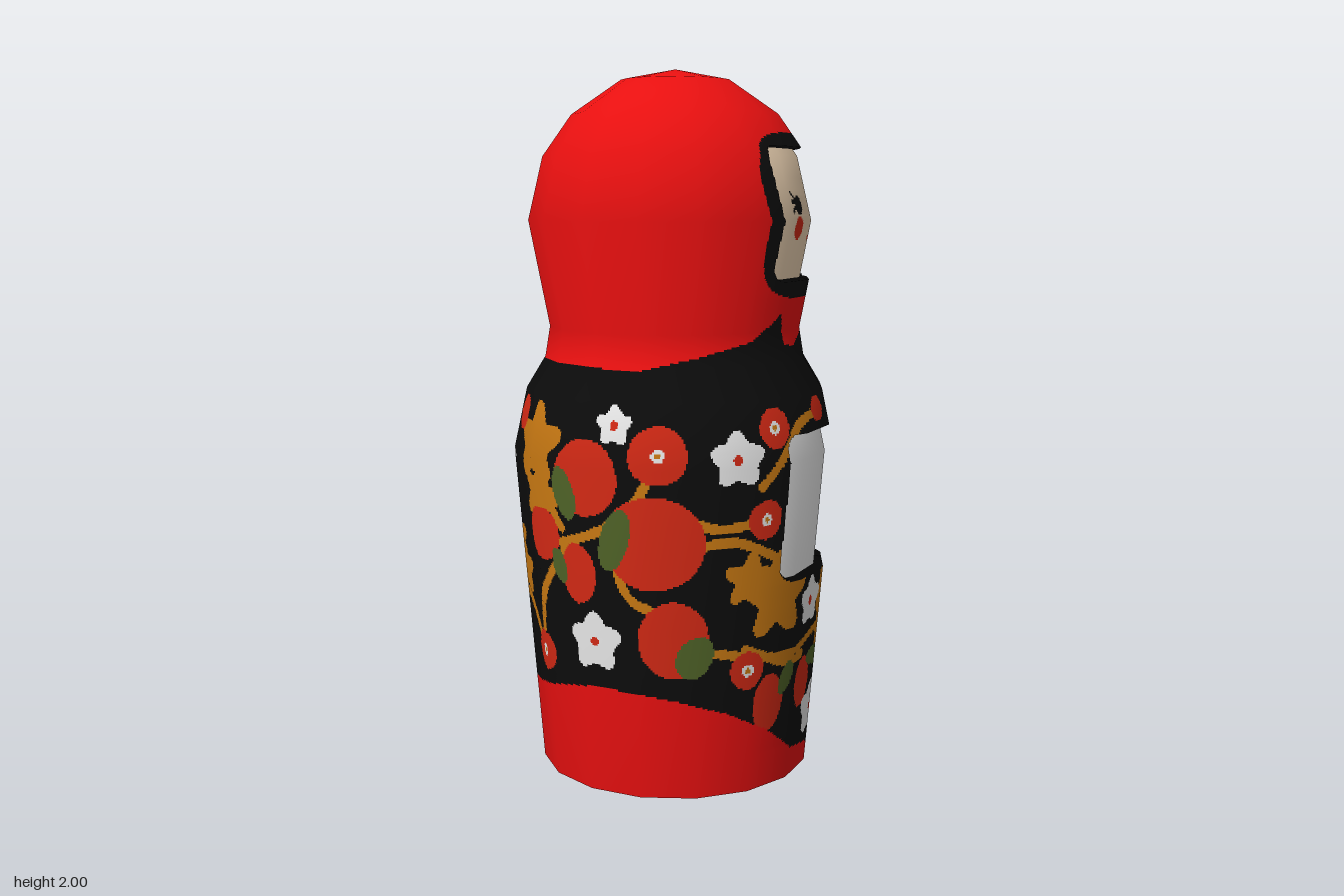
import * as THREE from 'three';

// Turned outline: [radius, height]
const PROFILE = [[0.392, 0], [0.468, 0.93], [0.43, 1.106], [0.376, 1.195], [0.362, 1.28], [0.42, 1.58],
  [0.378, 1.757], [0.296, 1.873], [0.155, 1.97], [0, 2]];
const SIDES = 16, CELLS = 32, ROW = 0.006, ARC = 0.44, INSET = 0.028;

// Straight-line lookup in a list of [value, key]
function lookup(table, key) {
  let i = 1;
  while (i < table.length - 1 && key > table[i][1]) i++;
  const [v0, k0] = table[i - 1], [v1, k1] = table[i];
  return v0 + (v1 - v0) * Math.min(1, Math.max(0, (key - k0) / (k1 - k0)));
}
const radiusAt = (y) => lookup(PROFILE, y);
const clamp = (v) => Math.max(-1, Math.min(1, v));

// Places on the painted half, as [arc length from the face line, height]
const F = (x, y) => [Math.acos(clamp(x / radiusAt(y))) * ARC, y]; // flank, by x
const S = (z, y) => [Math.asin(clamp(z / radiusAt(y))) * ARC, y]; // face side, by z
const B = (deg, y) => [deg * Math.PI / 180 * ARC, y];             // back, by angle

// Painted shapes; later ones cover earlier ones
const shapes = [];
const add = (key, test, [u, y], reach) => shapes.push({ key, test, u, y, reach });
function oval(key, p, rx, ry = rx, tilt = 0) {
  const c = Math.cos(tilt), s = Math.sin(tilt);
  add(key, (u, v) => ((u * c + v * s) / rx) ** 2 + ((v * c - u * s) / ry) ** 2 < 1, p, Math.max(rx, ry));
}
function petals(key, p, r, wave = 0.14, turn = Math.PI / 2) {
  add(key, (u, v) => Math.hypot(u, v) < r * (1 - wave + wave * Math.cos(5 * (Math.atan2(v, u) - turn))), p, r);
}
function stem(...pts) {
  const curve = new THREE.CatmullRomCurve3(pts.map(([u, y]) => new THREE.Vector3(u, y, 0)));
  for (const q of curve.getPoints(28)) oval('gold', [q.x, q.y], 0.014);
}
function flower(p, r) {
  petals('whiteFlower', p, r);
  oval('redFlower', p, 0.013);
}
function roundBloom(p, r) {
  oval('redFlower', p, r);
  oval('whiteFlower', [p[0], p[1]], 0.018);
  oval('gold', p, 0.008);
}

// Stems
stem(F(-0.26, 0.7), F(-0.12, 0.75), F(0, 0.84), F(0.065, 0.97));
stem(F(-0.31, 0.4), F(-0.3, 0.55), F(-0.2, 0.72));
stem(F(-0.07, 0.7), F(-0.02, 0.58), F(0.1, 0.52));
stem(F(0.1, 0.82), F(0.22, 0.77), F(0.33, 0.785));
stem(F(0.15, 0.72), F(0.26, 0.73), F(0.35, 0.68));
stem(F(0.2, 0.42), F(0.29, 0.4), S(0.2, 0.38), S(0, 0.42));
stem(S(0.32, 0.42), S(0.2, 0.36), S(0.12, 0.36));
stem(S(0.05, 1.05), S(0.18, 1.04), S(0.25, 0.97), S(0.33, 0.88));
stem(S(0, 0.36), S(0, 0.48), S(0, 0.58));
stem(B(138, 0.38), B(150, 0.48), B(165, 0.55));
stem(B(120, 0.75), B(128, 0.82), B(136, 0.86));

// Gold leaves
petals('gold', B(135, 0.97), 0.12, 0.2);
petals('gold', B(132, 0.83), 0.095, 0.2, -0.6);
petals('gold', B(166, 0.66), 0.11, 0.2);
petals('gold', B(156, 0.58), 0.08, 0.2, 0.3);
petals('gold', S(0.25, 0.56), 0.13, 0.2);
petals('gold', S(0.33, 0.62), 0.08, 0.2, 0.4);
oval('gold', S(0, 0.5), 0.035, 0.05);

// Berries
oval('redFlower', F(-0.15, 0.9), 0.1, 0.105);
oval('redFlower', F(0.05, 0.73), 0.14, 0.13);
oval('redFlower', F(0.1, 0.46), 0.1, 0.11);
oval('redFlower', F(-0.3, 0.72), 0.075, 0.075);
oval('redFlower', F(-0.175, 0.63), 0.06, 0.085);
oval('redFlower', S(0.245, 0.25), 0.062, 0.085);
oval('redFlower', S(0.095, 0.27), 0.058, 0.075);
oval('redFlower', S(0.075, 1.06), 0.042, 0.036);
oval('redFlower', B(164, 1.02), 0.045);
oval('redFlower', B(180, 1.04), 0.045);
oval('redFlower', B(172, 0.36), 0.06);
oval('redFlower', B(152, 1.04), 0.035, 0.05);

// Berry leaves
oval('leaf', F(-0.215, 0.85), 0.042, 0.075, -0.3);
oval('leaf', F(-0.06, 0.735), 0.042, 0.09, 0.3);
oval('leaf', F(0.155, 0.41), 0.05, 0.065, 0.6);
oval('leaf', F(-0.24, 0.64), 0.03, 0.05, -0.3);
oval('leaf', S(0, 0.33), 0.075, 0.03);
oval('leaf', S(0.19, 0.31), 0.025, 0.05, 0.4);

// Blooms
for (const [p, r] of [[F(0.065, 0.97), 0.078], [B(137, 0.37), 0.058], [F(0.335, 0.785), 0.055],
  [F(0.285, 0.36), 0.055], [F(0.35, 1.03), 0.055]]) roundBloom(p, r);
for (const [p, r] of [[F(-0.06, 1.045), 0.055], [F(0.27, 0.955), 0.078], [F(-0.127, 0.44), 0.088],
  [S(0.085, 0.51), 0.075], [S(0, 0.17), 0.085], [B(167, 0.9), 0.088]]) flower(p, r);

// Edges of the black dress: [height, degrees from the face line]
const HEM = [[0.06, 0], [0.085, 20], [0.17, 36], [0.24, 55], [0.28, 72], [0.305, 90], [0.31, 110], [0.25, 150], [0.25, 180]];
const COLLAR = [[1.27, 0], [1.235, 10], [1.24, 21], [1.33, 24], [1.3, 29], [1.26, 40], [1.215, 70], [1.187, 90], [1.19, 180]];

// Sunken panels, as rounded rectangles seen from the face side
function panelAt(a, y) {
  if (a > 1.2) return '';
  const z = radiusAt(y) * Math.sin(a);
  const inside = (w, y0, y1, c) => {
    const dx = Math.max(0, z - w + c), dy = Math.max(0, Math.abs(y - (y0 + y1) / 2) - (y1 - y0) / 2 + c);
    return Math.hypot(dx, dy) < c;
  };
  return inside(0.21, 1.42, 1.78, 0.04) ? 'face' : inside(0.25, 0.595, 1.003, 0.05) ? 'apron' : '';
}

function faceColour(z, y) {
  const lash = [-0.6, 0, 0.6].some((k) => {
    const t = (z - 0.085) / 0.045;
    return t > 0 && t < 1 && Math.abs(y - 1.63 - k * (z - 0.085)) < 0.005;
  });
  if (lash || Math.hypot(z - 0.08, y - 1.622) < 0.026) return 'eyes';
  if (Math.hypot(z - 0.09, y - 1.56) < 0.031 || Math.hypot(z, y - 1.533) < 0.008) return 'cheeksAndMouth';
  return 'face';
}

// Part name for a place on the surface
function paint(a, y) {
  const panel = panelAt(a, y), z = radiusAt(y) * Math.sin(a), deg = a * 180 / Math.PI;
  if (panel === 'face') return faceColour(z, y);
  if (panel) return panel;
  if (y > lookup(COLLAR, deg)) {
    const ring = a < 1.2 && (z / 0.255) ** 4 + (Math.abs(y - 1.593) / 0.226) ** 4 < 1;
    return ring ? 'dress' : 'headscarf';
  }
  if (y < lookup(HEM, deg)) return 'hem';
  let key = 'dress';
  for (const s of shapes) {
    const u = a * ARC - s.u, v = y - s.y;
    if (Math.abs(u) < s.reach && Math.abs(v) < s.reach && s.test(u, v)) key = s.key;
  }
  return key;
}

export function createModel() {
  const group = new THREE.Group();
  const mat = (name, color) => new THREE.MeshStandardMaterial({ name, color });
  const red = mat('bright red', 0xe81010), black = mat('black', 0x0c0c0c), berry = mat('berry red', 0xcf2814);
  const white = mat('white', 0xe6e6e6);
  const materials = { headscarf: red, hem: red, dress: black, eyes: black, redFlower: berry, cheeksAndMouth: berry,
    whiteFlower: white, apron: white, gold: mat('gold', 0xc47612), leaf: mat('leaf green', 0x4d6026),
    face: mat('skin', 0xecd2b2) };
  const buckets = {};

  // Smooth outline normals [outward, up]
  const segs = PROFILE.slice(1).map(([r, y], i) => new THREE.Vector2(y - PROFILE[i][1], PROFILE[i][0] - r).normalize());
  const normals = PROFILE.map((_, i) => (i === PROFILE.length - 1 ? new THREE.Vector2(0, 1)
    : segs[i].clone().add(segs[Math.max(0, i - 1)]).normalize()));

  // Point on the many-sided body at side i, fraction t
  const step = Math.PI * 2 / SIDES;
  const dirAt = (i, t) => [0, 1].map((k) => {
    const f = k ? Math.sin : Math.cos;
    return f(i * step) * (1 - t) + f((i + 1) * step) * t;
  });
  const angle = ([x, z]) => Math.abs(Math.atan2(z, x));

  // Cut the body into fine rows and join neighbouring cells of one part
  for (let b = 0; b < PROFILE.length - 1; b++) {
    const [r0, h0] = PROFILE[b], [r1, h1] = PROFILE[b + 1];
    const rows = Math.ceil(Math.hypot(r1 - r0, h1 - h0) / ROW);
    for (let k = 0; k < rows; k++) {
      const level = [k / rows, (k + 1) / rows].map((t) => ({
        y: h0 + (h1 - h0) * t, r: r0 + (r1 - r0) * t, n: normals[b].clone().lerp(normals[b + 1], t) }));
      const mid = (level[0].y + level[1].y) / 2;
      for (let i = 0; i < SIDES; i++) {
        const sunk = (c, l) => (panelAt(angle(dirAt(i, c / CELLS)), level[l].y) ? 1 : 0);
        const emit = (key, c0, c1) => {
          const out = (buckets[key] ??= { position: [], normal: [] });
          for (const [c, l] of [[c0, 0], [c0, 1], [c1, 1], [c0, 0], [c1, 1], [c1, 0]]) {
            const [x, z] = dirAt(i, c / CELLS), { y, r, n } = level[l], d = r - INSET * sunk(c, l);
            const v = new THREE.Vector3(x * n.x, n.y, z * n.x).normalize();
            out.position.push(x * d, y, z * d);
            out.normal.push(v.x, v.y, v.z);
          }
        };
        let start = 0, last = null;
        for (let c = 0; c <= CELLS; c++) {
          let tag = null;
          if (c < CELLS) {
            const depth = sunk(c, 0) + sunk(c + 1, 0) + sunk(c, 1) + sunk(c + 1, 1);
            const edge = depth > 0 && depth < 4;
            tag = edge ? `dress ${c}` : `${paint(angle(dirAt(i, (c + 0.5) / CELLS)), mid)} ${depth ? 'in' : 'out'}`;
          }
          if (tag !== last) {
            if (last) emit(last.split(' ')[0], start, c);
            start = c;
            last = tag;
          }
        }
      }
    }
  }
  for (const [name, data] of Object.entries(buckets)) {
    const geometry = new THREE.BufferGeometry();
    for (const key in data) geometry.setAttribute(key, new THREE.Float32BufferAttribute(data[key], 3));
    const mesh = new THREE.Mesh(geometry, materials[name]);
    mesh.name = name;
    group.add(mesh);
  }

  // Flat underside
  const base = new THREE.Mesh(new THREE.CircleGeometry(PROFILE[0][0], SIDES).rotateX(Math.PI / 2), red);
  base.name = 'base';
  group.add(base);
  return group;
}
